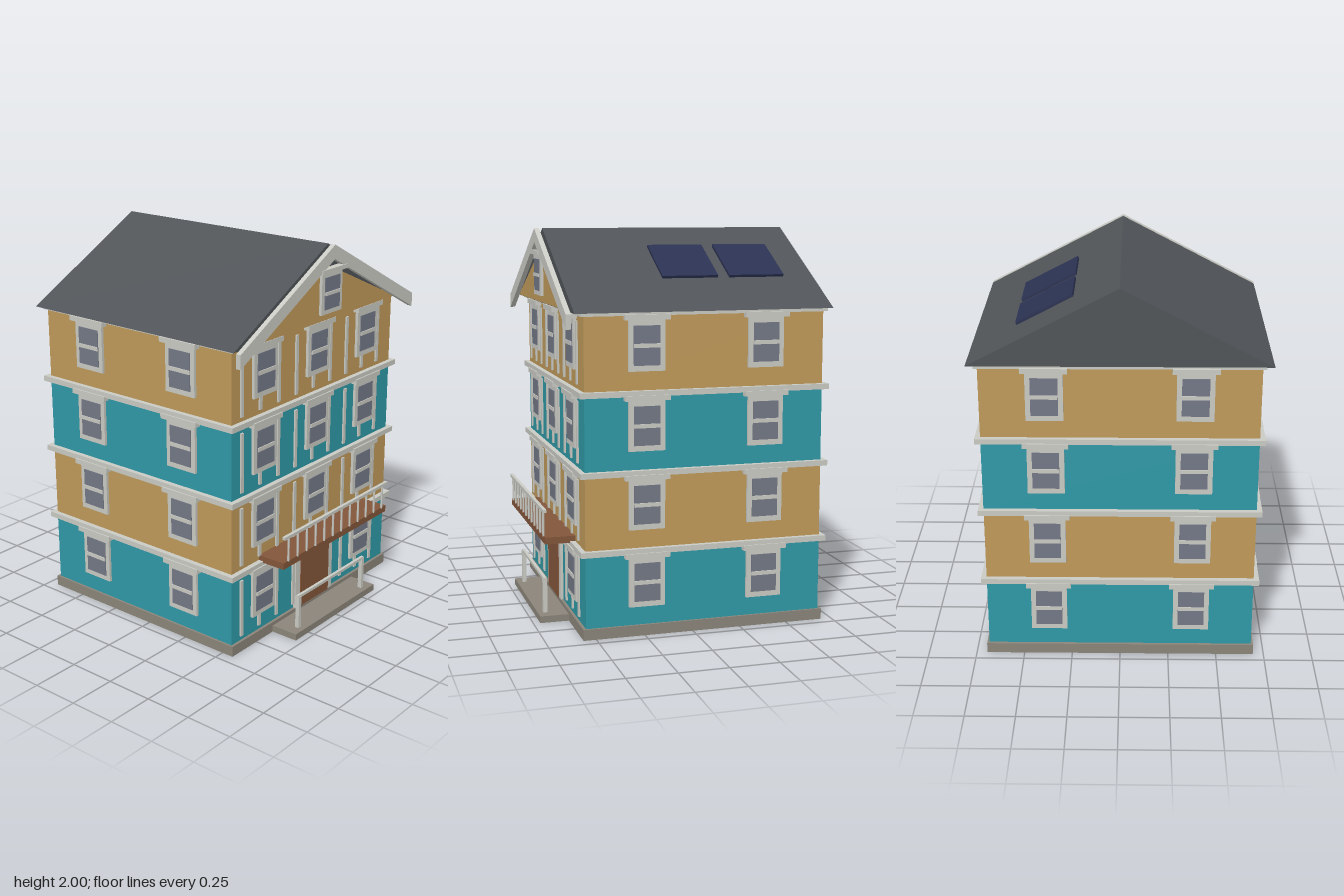
import * as THREE from 'three';

const material = (name, color) => {
  const m = new THREE.MeshStandardMaterial({ color });
  m.name = name;
  return m;
};

export function createModel() {
  const teal = material('teal siding', 0x2f99a6);
  const ochre = material('ochre siding', 0xc09a5a);
  const trim = material('pale trim', 0xcbcbc5);
  const slate = material('slate roof', 0x505458);
  const glass = material('window glass', 0x737886);
  const wood = material('brown wood', 0x83563a);
  const stone = material('stone base', 0x8b857a);
  const solar = material('solar blue', 0x2b3252);

  const model = new THREE.Group();
  model.name = 'house';

  // Box given by its extents on each axis
  const box = (name, mat, [x0, x1], [y0, y1], [z0, z1], parent = model) => {
    const mesh = new THREE.Mesh(new THREE.BoxGeometry(x1 - x0, y1 - y0, z1 - z0), mat);
    mesh.position.set((x0 + x1) / 2, (y0 + y1) / 2, (z0 + z1) / 2);
    mesh.name = name;
    parent.add(mesh);
    return mesh;
  };

  // Outline in x and y, extruded from z0 to z1
  const prism = (name, mat, points, z0, z1) => {
    const shape = new THREE.Shape(points.map(([x, y]) => new THREE.Vector2(x, y)));
    const geo = new THREE.ExtrudeGeometry(shape, { depth: z1 - z0, bevelEnabled: false });
    const mesh = new THREE.Mesh(geo, mat);
    mesh.position.z = z0;
    mesh.name = name;
    model.add(mesh);
  };

  // Sash window facing +z, its origin at the bottom centre on the wall
  const addWindow = (x, y, z, turn = 0, sx = 1, sy = 1) => {
    const g = new THREE.Group();
    g.name = 'window';
    box('windowFrame', trim, [-0.092, 0.092], [0, 0.25], [-0.005, 0.015], g);
    box('windowGlass', glass, [-0.067, 0.067], [0.028, 0.222], [0.014, 0.019], g);
    box('meetingRail', trim, [-0.067, 0.067], [0.115, 0.135], [0.014, 0.024], g);
    box('windowCap', trim, [-0.114, 0.114], [0.25, 0.276], [-0.005, 0.034], g);
    g.position.set(x, y, z);
    g.rotation.y = turn;
    g.scale.set(sx, sy, 1);
    model.add(g);
  };

  const front = 0.55, back = -0.68, side = 0.683, storey = 0.3917;

  // Foundation and entrance step
  box('foundation', stone, [-0.695, 0.695], [0, 0.055], [-0.695, 0.565]);
  box('entranceStep', stone, [-0.362, 0.362], [0, 0.035], [0.56, 0.715]);

  // Four storeys: walls, trim bands, battens and windows
  for (let i = 0; i < 4; i++) {
    const y = 0.05 + i * storey;
    box('storeyWall', i % 2 ? ochre : teal, [-side, side], [y, y + storey], [back, front]);

    const out = i === 3 ? 0.018 : 0.027;
    const bandTop = i === 3 ? 1.613 : y + 0.398;
    box('trimBand', trim, [-side - out, side + out], [y + 0.37, bandTop], [back - out, front + out]);

    for (let k = 0; k < 9; k++) {
      const x = -0.61 + k * 0.145;
      if (i === 0 && Math.abs(x) < 0.12) continue;
      box('batten', trim, [x - 0.01, x + 0.01], [y + 0.03, y + 0.34], [front - 0.005, front + 0.009]);
    }

    const sill = y + 0.1;
    for (const x of [-0.437, 0, 0.437]) {
      if (i > 0 || x !== 0) addWindow(x, sill, front);
    }
    for (const s of [-1, 1]) {
      addWindow(s * 0.365, sill, back, Math.PI);
      for (const z of [0.24, -0.373]) addWindow(s * side, sill, z, s * Math.PI / 2);
    }
  }

  // Front door and its jambs
  box('door', wood, [-0.126, 0.126], [0.055, 0.425], [front - 0.01, 0.57]);
  for (const s of [-1, 1]) {
    box('doorJamb', trim, [s * 0.145 - 0.02, s * 0.145 + 0.02], [0.055, 0.425], [front - 0.01, 0.565]);
  }

  // Roof, front gable face and barge boards
  prism('roof', slate, [[-0.737, 1.613], [0.737, 1.613], [0, 2]], -0.712, 0.605);
  prism('gableFace', ochre, [[-0.605, 1.62], [0.605, 1.62], [0, 1.89]], 0.6, 0.62);
  prism('bargeBoards', trim, [
    [-0.738, 1.54], [0, 1.928], [0.738, 1.54], [0.738, 1.612], [0, 2], [-0.738, 1.612],
  ], 0.622, 0.648);
  addWindow(0, 1.656, 0.62, 0, 0.94, 0.84);

  // Solar panels on the right slope
  for (const z of [-0.39, -0.04]) {
    const panel = box('solarPanel', solar, [-0.156, 0.156], [-0.007, 0.007], [-0.145, 0.145]);
    panel.position.set(0.365, 1.838, z);
    panel.rotation.z = -Math.atan(0.525);
  }

  // Balcony with balusters
  box('balconyDeck', wood, [-0.465, 0.465], [0.44, 0.475], [front - 0.01, 0.706]);
  box('balconyRail', trim, [-0.465, 0.465], [0.602, 0.618], [0.697, 0.714]);
  const balusterGeo = new THREE.CylinderGeometry(0.006, 0.006, 0.135, 8);
  for (let k = 0; k < 12; k++) {
    const baluster = new THREE.Mesh(balusterGeo, trim);
    baluster.name = 'baluster';
    baluster.position.set(-0.424 + k * 0.0771, 0.54, 0.705);
    model.add(baluster);
  }

  // Stoop railing
  for (const x of [-0.29, 0.29]) {
    box('stoopPost', trim, [x - 0.01, x + 0.01], [0.03, 0.213], [0.664, 0.686]);
  }
  box('stoopRail', trim, [-0.3, 0.3], [0.205, 0.22], [0.667, 0.683]);

  return model;
}
